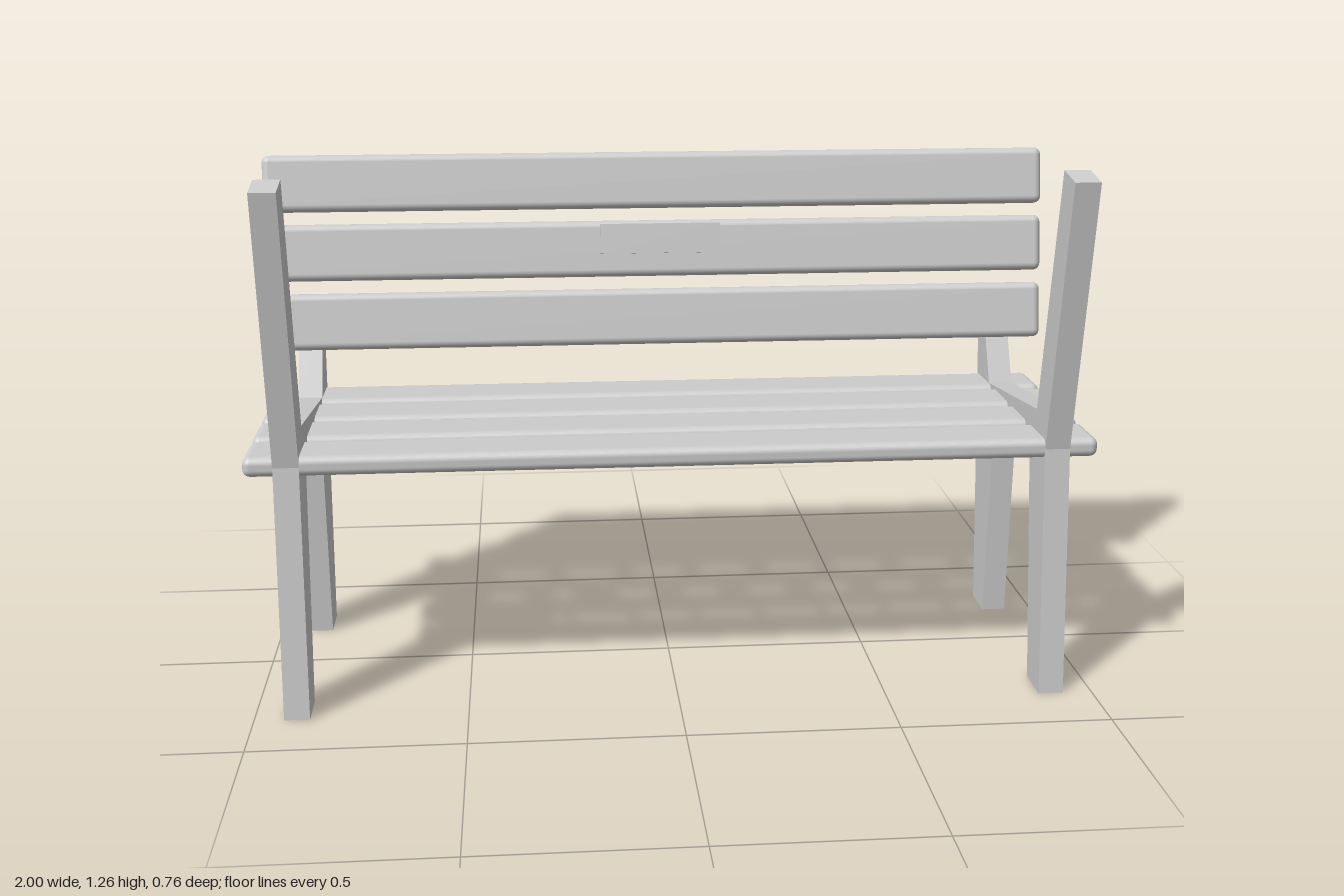
import * as THREE from 'three';
import { RoundedBoxGeometry } from 'three/addons/geometries/RoundedBoxGeometry.js';

export function createModel() {
  const bench = new THREE.Group();
  bench.name = 'bench';
  const grey = new THREE.MeshStandardMaterial({ color: 0xcccccc });
  grey.name = 'grey';

  const add = (name, geometry, x, y, z, tilt = 0) => {
    const mesh = new THREE.Mesh(geometry, grey);
    mesh.name = name;
    mesh.position.set(x, y, z);
    mesh.rotation.x = tilt;
    bench.add(mesh);
  };

  // Side frames: one outline of [z, y] points with both legs, the rail and the uprights
  const outline = [
    [0.345, 0], [0.28, 0.597], [0.38, 1.243], [0.295, 1.259], [0.195, 0.673],
    [-0.24, 0.622], [-0.328, 0.794], [-0.378, 0.762], [-0.29, 0], [-0.19, 0],
    [-0.174, 0.517], [0.157, 0.552], [0.245, 0],
  ];
  const shape = new THREE.Shape(outline.map(([z, y]) => new THREE.Vector2(-z, y)));
  const frame = new THREE.ExtrudeGeometry(shape, { depth: 0.06, bevelEnabled: false });
  frame.translate(0, 0, -0.03).rotateY(Math.PI / 2);
  add('leftFrame', frame, 0.9, 0, 0);
  add('rightFrame', frame, -0.9, 0, 0);

  // Seat slats
  const seatSlat = new RoundedBoxGeometry(2, 0.047, 0.143, 4, 0.018);
  [0.208, 0.041, -0.122, -0.288].forEach((z, i) => add(`seatSlat${i + 1}`, seatSlat, 0, 0.597, z));

  // Leaning back slats
  const lean = -0.2;
  const backSlat = new RoundedBoxGeometry(2, 0.143, 0.047, 4, 0.018);
  [[0.812, -0.274], [0.985, -0.302], [1.157, -0.33]].forEach(([y, z], i) =>
    add(`backSlat${i + 1}`, backSlat, 0, y, z, lean));

  // Blank plaque in front of the middle back slat
  add('plaque', new THREE.BoxGeometry(0.305, 0.075, 0.012), 0, 1.02, -0.25, lean);

  return bench;
}
